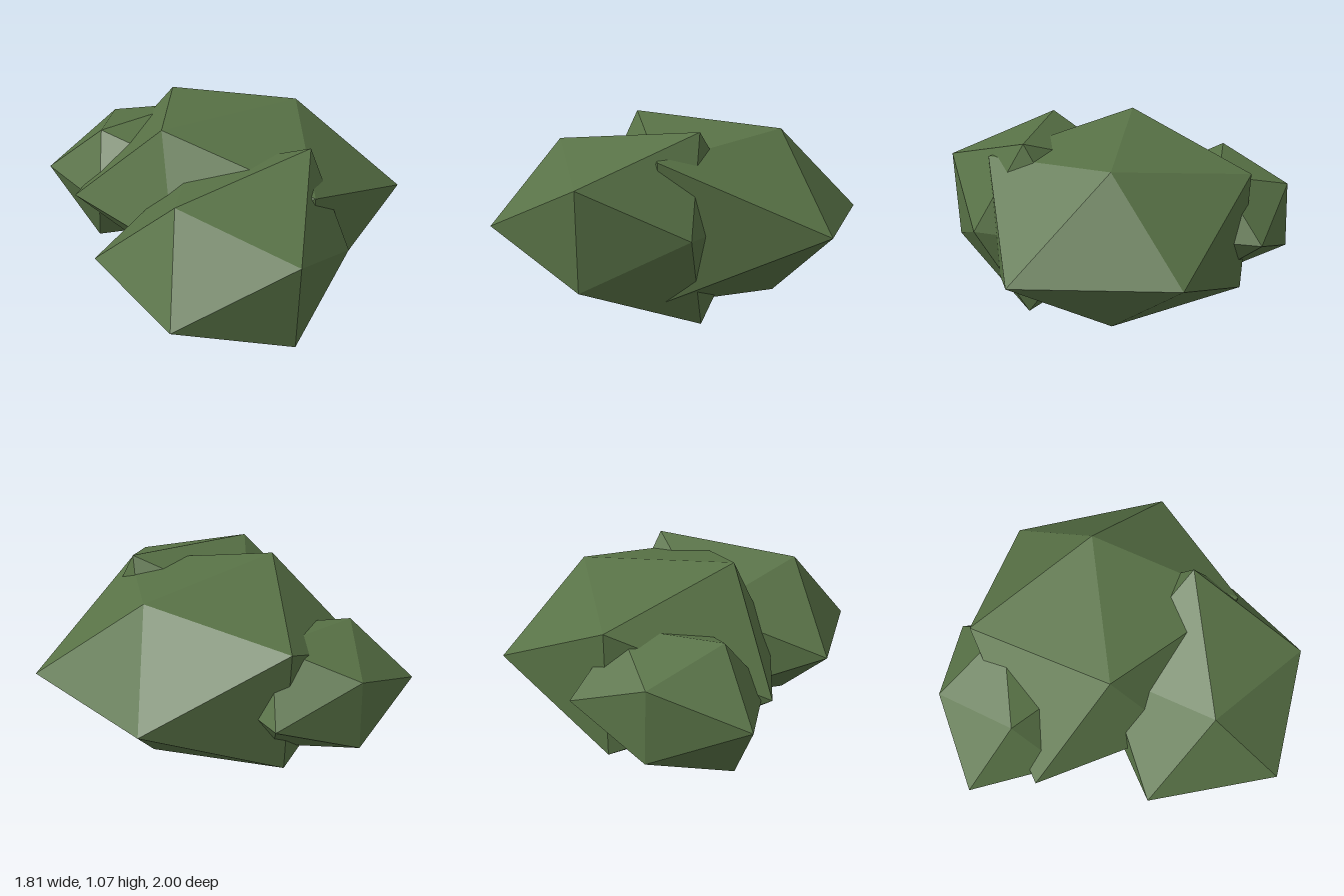
import * as THREE from 'three';

// Corner directions of an icosahedron: top/bottom ridges, front/back pairs, side pairs
const T = (1 + Math.sqrt(5)) / 2;
const CORNERS = [
  [-1, T, 0], [1, T, 0], [-1, -T, 0], [1, -T, 0],
  [0, -1, T], [0, 1, T], [0, -1, -T], [0, 1, -T],
  [T, 0, -1], [T, 0, 1], [-T, 0, -1], [-T, 0, 1],
].map((c) => new THREE.Vector3(...c).normalize());

// A squashed icosahedron whose corners are each pushed in or out by a factor
function leafClump(name, material, centre, scale, factors) {
  const geometry = new THREE.IcosahedronGeometry(1, 0);
  const position = geometry.attributes.position;
  const v = new THREE.Vector3();
  for (let i = 0; i < position.count; i++) {
    v.fromBufferAttribute(position, i);
    const corner = CORNERS.findIndex((c) => c.dot(v) > 0.99);
    v.multiplyScalar(factors[corner]);
    position.setXYZ(i, v.x * scale[0], v.y * scale[1], v.z * scale[2]);
  }
  geometry.computeVertexNormals(); // unshared corners give flat facets
  const mesh = new THREE.Mesh(geometry, material);
  mesh.name = name;
  mesh.position.set(...centre);
  return mesh;
}

export function createModel() {
  const group = new THREE.Group();
  group.name = 'bush';
  const leafGreen = new THREE.MeshStandardMaterial({ color: 0x587246, flatShading: true });
  leafGreen.name = 'leaf green';

  // Three overlapping clumps of foliage
  group.add(
    leafClump('frontClump', leafGreen, [-0.24, 0.52, 0.455], [0.837, 0.6, 0.758],
      [0.863, 1, 0.78, 1.015, 0.814, 0.845, 0.85, 0.81, 0.85, 0.716, 0.94, 0.87]),
    leafClump('mainClump', leafGreen, [0.065, 0.52, -0.065], [0.885, 0.6465, 0.8],
      [1, 0.88, 0.803, 0.803, 1.07, 1.11, 1.005, 1.045, 0.98, 1.108, 1.075, 0.8]),
    leafClump('backClump', leafGreen, [-0.235, 0.52, -0.6], [0.594, 0.426, 0.533],
      [0.88, 0.9, 1.1, 0.8, 0.9, 0.9, 0.885, 0.85, 0.91, 0.85, 1, 0.85]),
  );
  return group;
}
